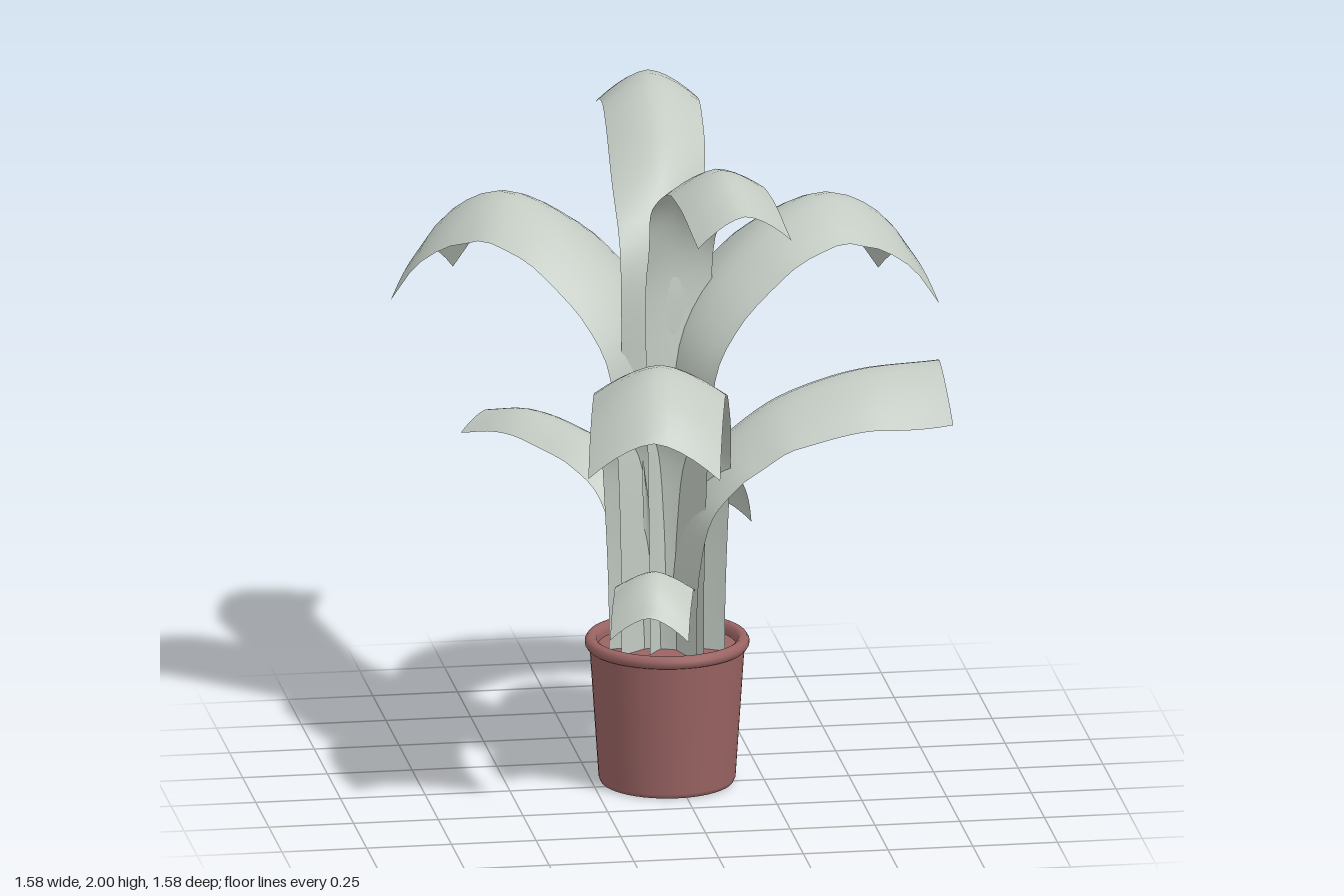
import * as THREE from 'three';

const leafMat = new THREE.MeshStandardMaterial({ color: 0xc2cac2, side: THREE.DoubleSide });
leafMat.name = 'pale green leaf';
const potMat = new THREE.MeshStandardMaterial({ color: 0x9a6463, side: THREE.DoubleSide });
potMat.name = 'terracotta';

const ROWS = 36, COLS = 10;

// Ridge profiles: [distance from stem, height]
const tall = [[0, 0.3], [0, 0.75], [0, 1.2], [0, 1.56], [0.05, 1.7], [0.12, 1.79], [0.27, 1.9], [0.5, 2.0], [0.73, 1.925]];
const broad = [[0, 0.3], [0, 0.7], [0.01, 1.1], [0.04, 1.32], [0.12, 1.46], [0.23, 1.57], [0.36, 1.66], [0.54, 1.71], [0.7, 1.63], [0.8, 1.5]];
const lower = [[0, 0.3], [0, 0.55], [0.01, 0.81], [0.04, 1.03], [0.12, 1.17], [0.23, 1.28], [0.36, 1.37], [0.54, 1.42], [0.7, 1.36], [0.8, 1.27]];
const level = [[0, 0.3], [0, 0.5], [0.01, 0.7], [0.05, 0.88], [0.13, 1.0], [0.22, 1.08], [0.33, 1.15], [0.55, 1.22], [0.8, 1.24]];
const slim = [[0, 0.2], [0, 0.5], [0.02, 0.73], [0.09, 0.89], [0.2, 0.965], [0.32, 1.0], [0.46, 1.02], [0.6, 0.99]];
const short = [[0, 0.3], [0, 0.48], [0.02, 0.65], [0.1, 0.8], [0.27, 0.87], [0.38, 0.84], [0.46, 0.76], [0.49, 0.69]];
const baby = [[0, 0.3], [0, 0.45], [0.02, 0.58], [0.1, 0.67], [0.17, 0.69], [0.25, 0.65], [0.3, 0.59]];

// Arched ribbon: shallow channel on the stem, edges hang down on the blade
function leafGeometry({ base, tip, profile, width, depth, twist = 0, pointed = false }) {
  const dx = tip[0] - base[0], dz = tip[1] - base[1];
  const heading = Math.atan2(dx, dz);
  const reach = profile[profile.length - 1][0];
  const curve = new THREE.CatmullRomCurve3(profile.map(([d, y]) =>
    new THREE.Vector3(base[0] + dx * d / reach, y, base[1] + dz * d / reach)));
  const pos = [], idx = [];
  for (let i = 0; i <= ROWS; i++) {
    const u = i / ROWS;
    const p = curve.getPointAt(u);
    const rise = THREE.MathUtils.clamp(curve.getTangentAt(u).y, 0, 1);
    const a = heading + twist * (1 - THREE.MathUtils.smoothstep(u, 0.6, 0.8));
    const side = new THREE.Vector3(Math.cos(a), 0, -Math.sin(a));
    const hang = new THREE.Vector3(Math.sin(a) * rise, -Math.sqrt(1 - rise * rise), Math.cos(a) * rise)
      .multiplyScalar(depth * (1 - 0.65 * rise));
    const w = width / 2 * (pointed ? 1 - u * 0.97 : 0.88 + 0.12 * THREE.MathUtils.smoothstep(u, 0.1, 0.55));
    for (let j = 0; j <= COLS; j++) {
      const s = j / COLS * 2 - 1;
      const q = p.clone().addScaledVector(side, s * w).addScaledVector(hang, Math.abs(s) ** 1.6);
      pos.push(q.x, q.y, q.z);
      if (i < ROWS && j < COLS) {
        const k = i * (COLS + 1) + j, n = k + COLS + 1;
        idx.push(k, k + 1, n, k + 1, n + 1, n);
      }
    }
  }
  const g = new THREE.BufferGeometry();
  g.setAttribute('position', new THREE.Float32BufferAttribute(pos, 3));
  g.setIndex(idx);
  g.computeVertexNormals();
  return g;
}

export function createModel() {
  const model = new THREE.Group();
  model.name = 'pottedPlant';
  const add = (name, geometry, material) => {
    const m = new THREE.Mesh(geometry, material);
    m.name = name;
    model.add(m);
    return m;
  };

  // Open-bottomed pot with a rounded rim
  const wall = [[0.178, 0.01], [0.186, 0], [0.194, 0.002], [0.2, 0.015], [0.226, 0.405], [0.234, 0.408],
    [0.24, 0.418], [0.24, 0.43], [0.233, 0.441], [0.218, 0.443], [0.207, 0.436], [0.203, 0.42], [0.178, 0.01]];
  add('pot', new THREE.LatheGeometry(wall.map(([r, y]) => new THREE.Vector2(r, y)), 48), potMat)
    .position.set(-0.03, 0, -0.04);
  const soil = add('soil', new THREE.CircleGeometry(0.203, 48).rotateX(-Math.PI / 2), potMat);
  soil.position.set(-0.03, 0.41, -0.04);

  // Leaves, from the tallest pair down to the small ones
  const T = Math.PI / 6;
  const leaves = {
    tallBackLeaf: { base: [-0.03, -0.05], tip: [0.01, -0.78], profile: tall, width: 0.285, depth: 0.085, twist: T },
    tallFrontLeaf: { base: [-0.015, -0.05], tip: [0.09, 0.67], profile: tall, width: 0.285, depth: 0.085, twist: T },
    broadRightLeaf: { base: [-0.045, -0.07], tip: [-0.675, -0.55], profile: broad, width: 0.38, depth: 0.11 },
    broadLeftLeaf: { base: [-0.03, -0.07], tip: [0.725, -0.31], profile: broad, width: 0.4, depth: 0.11 },
    broadFrontLeaf: { base: [-0.03, -0.03], tip: [-0.19, 0.75], profile: lower, width: 0.385, depth: 0.11 },
    levelLeftLeaf: { base: [-0.02, -0.05], tip: [0.775, -0.05], profile: level, width: 0.385, depth: 0.15 },
    slimRightLeaf: { base: [-0.08, -0.1], tip: [-0.485, -0.57], profile: slim, width: 0.22, depth: 0.045 },
    shortBackLeaf: { base: [0.01, -0.11], tip: [0.2, -0.55], profile: short, width: 0.2, depth: 0.06 },
    babyFrontLeaf: { base: [-0.06, -0.01], tip: [-0.13, 0.27], profile: baby, width: 0.23, depth: 0.07 },
  };
  for (const [name, spec] of Object.entries(leaves)) add(name, leafGeometry(spec), leafMat);

  // Young pointed shoots between the stems
  const shoots = [[[0.01, 0.03], [0.08, -0.01], 0.75], [[-0.07, -0.05], [-0.11, 0.03], 1.0], [[-0.02, -0.04], [0.03, -0.1], 0.95]];
  shoots.forEach(([base, tip, h], i) => add('shoot' + (i + 1), leafGeometry({
    base, tip, profile: [[0, 0.3], [0.2, 0.3 + (h - 0.3) * 0.5], [1, h]], width: 0.09, depth: 0.02, pointed: true,
  }), leafMat));

  return model;
}
